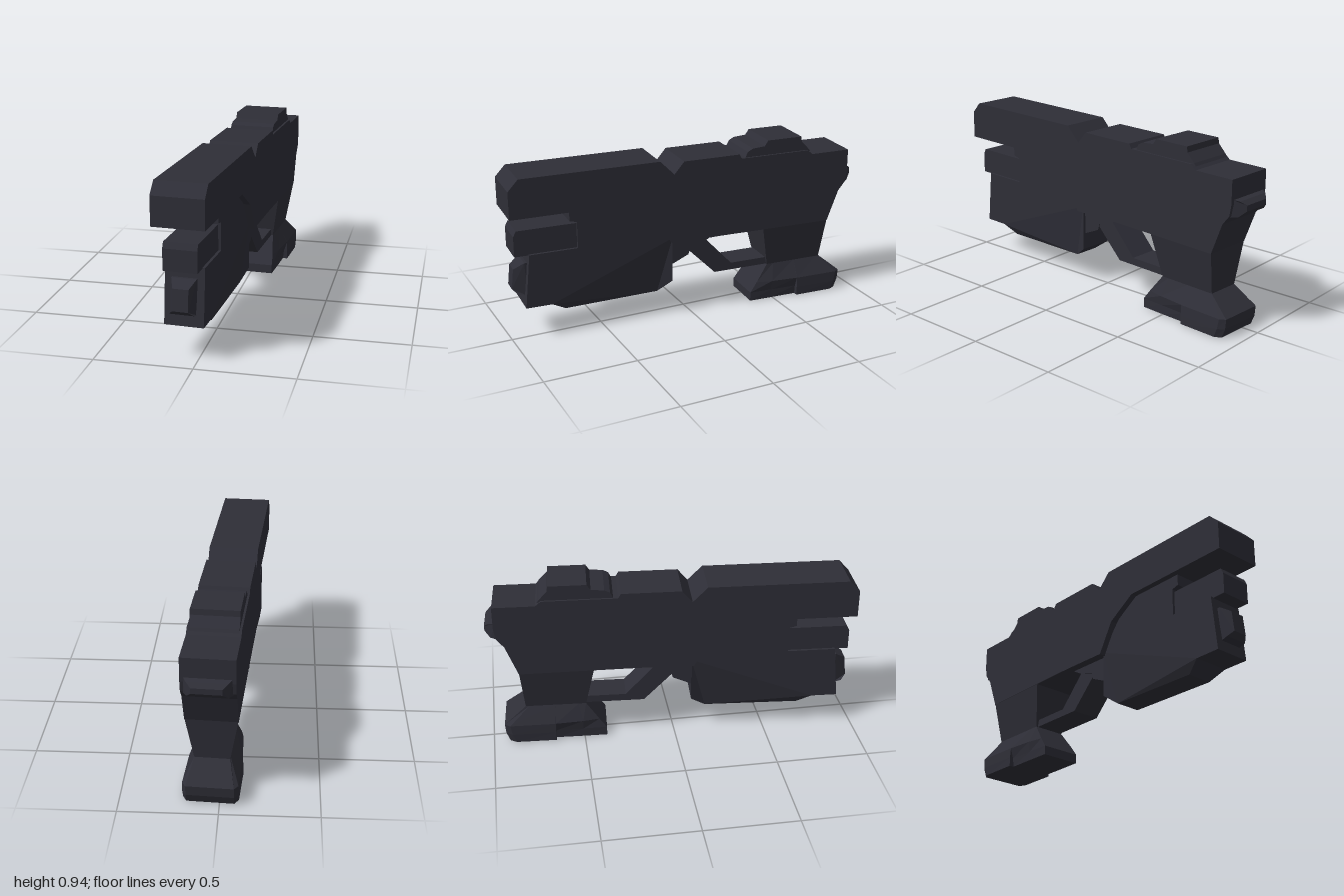
import * as THREE from 'three';

// Side profile of [z, y] points, extruded across x; half(z, y) gives the half width at each point.
function slab(name, points, half, material) {
  const shape = new THREE.Shape(points.map(([z, y]) => new THREE.Vector2(z, y)));
  const geometry = new THREE.ExtrudeGeometry(shape, { depth: 2, bevelEnabled: false });
  geometry.translate(0, 0, -1).rotateY(-Math.PI / 2);
  const p = geometry.attributes.position;
  for (let i = 0; i < p.count; i++) {
    const h = typeof half === 'number' ? half : half(p.getZ(i), p.getY(i));
    p.setX(i, Math.sign(p.getX(i)) * h);
  }
  geometry.computeVertexNormals();
  const mesh = new THREE.Mesh(geometry, material);
  mesh.name = name;
  return mesh;
}

// Stacked plan outlines, each { y, half: [[z, halfWidth], ...] }, mirrored in x and closed with caps.
function loft(name, levels, material) {
  const rings = levels.map(({ y, half }) => [
    ...half.map(([z, h]) => [h, y, z]),
    ...half.slice().reverse().map(([z, h]) => [-h, y, z]),
  ]);
  const v = [];
  const tri = (a, b, c) => v.push(...a, ...b, ...c);
  const n = rings[0].length;
  for (let r = 0; r < rings.length - 1; r++) {
    for (let i = 0; i < n; i++) {
      const j = (i + 1) % n, lo = rings[r], hi = rings[r + 1];
      tri(lo[i], lo[j], hi[j]);
      tri(lo[i], hi[j], hi[i]);
    }
  }
  // Caps are strips between mirrored points.
  const cap = (ring, up) => {
    for (let i = 0; i < n / 2 - 1; i++) {
      const a = ring[i], b = ring[i + 1], c = ring[n - 2 - i], d = ring[n - 1 - i];
      if (up) { tri(a, b, c); tri(a, c, d); } else { tri(a, c, b); tri(a, d, c); }
    }
  };
  cap(rings[0], false);
  cap(rings[rings.length - 1], true);
  const geometry = new THREE.BufferGeometry();
  geometry.setAttribute('position', new THREE.Float32BufferAttribute(v, 3));
  geometry.computeVertexNormals();
  const mesh = new THREE.Mesh(geometry, material);
  mesh.name = name;
  return mesh;
}

export function createModel() {
  const model = new THREE.Group();
  model.name = 'sidearm';
  const metal = new THREE.MeshStandardMaterial({ color: 0x2e2e37, flatShading: true });
  metal.name = 'dark gunmetal';
  const body = new THREE.Group();
  body.name = 'body';
  const add = (name, points, half) => body.add(slab(name, points, half, metal));

  // Upper receiver with sloping frame underneath
  add('receiver', [
    [0.99, 0.69], [0.99, 0.84], [0.935, 0.9], [0.18, 0.9], [0.1, 0.82], [0.045, 0.885],
    [-0.275, 0.885], [-0.29, 0.86], [-0.69, 0.86], [-0.72, 0.835], [-0.945, 0.835],
    [-0.945, 0.71], [-0.935, 0.65], [-0.895, 0.6], [-0.83, 0.43], [-0.17, 0.435],
    [0.11, 0.43], [0.2, 0.59], [0.36, 0.69],
  ], 0.133);

  // Stepped rear sight block
  add('rearSight', [
    [-0.31, 0.85], [-0.33, 0.89], [-0.36, 0.905], [-0.43, 0.91], [-0.45, 0.94],
    [-0.652, 0.94], [-0.656, 0.91], [-0.7, 0.865], [-0.71, 0.85],
  ], 0.122);

  // Fore housing, narrowed along its underside
  add('foreHousing', [
    [0.92, 0.18], [0.89, 0.475], [0.63, 0.475], [0.63, 0.62], [0.67, 0.63], [0.67, 0.7],
    [0.3, 0.7], [0.1, 0.45], [0.1, 0.2], [0.18, 0.14], [0.7, 0.13], [0.78, 0.18],
  ], (z, y) => (y < 0.15 ? 0.07 : 0.1));

  // Barrel block below the receiver
  add('barrelBlock', [
    [0.965, 0.47], [0.965, 0.58], [0.95, 0.61], [0.6, 0.61], [0.6, 0.47],
  ], 0.086);

  // Faceted lamp on the front of the housing
  add('frontLamp', [
    [0.9, 0.235], [0.95, 0.25], [0.977, 0.275], [0.965, 0.385], [0.91, 0.42], [0.88, 0.42],
  ], (z) => (z > 0.96 ? 0.04 : 0.063));

  // Neck and trigger guard
  add('guardNeck', [
    [0.115, 0.44], [0.1, 0.29], [0, 0.335], [-0.01, 0.37], [-0.11, 0.405], [-0.17, 0.44],
  ], 0.085);
  add('triggerGuard', [
    [0, 0.36], [-0.16, 0.2], [-0.5, 0.2], [-0.5, 0.24], [-0.26, 0.24], [-0.1, 0.41], [-0.04, 0.41],
  ], 0.08);

  // Grip, widening upward
  add('grip', [
    [-0.43, 0.435], [-0.48, 0.2], [-0.81, 0.2], [-0.83, 0.435],
  ], (z, y) => (y < 0.3 ? 0.09 : 0.132));

  // Flared foot of the grip
  body.add(loft('gripFoot', [
    { y: 0, half: [[-0.37, 0.112], [-0.5, 0.114], [-0.65, 0.114], [-0.652, 0.14], [-0.87, 0.14], [-0.905, 0.12]] },
    { y: 0.05, half: [[-0.37, 0.112], [-0.5, 0.116], [-0.65, 0.12], [-0.652, 0.14], [-0.89, 0.142], [-0.925, 0.12]] },
    { y: 0.105, half: [[-0.41, 0.108], [-0.5, 0.125], [-0.65, 0.137], [-0.652, 0.138], [-0.9, 0.14], [-0.93, 0.12]] },
    { y: 0.2, half: [[-0.48, 0.09], [-0.52, 0.09], [-0.65, 0.09], [-0.652, 0.09], [-0.79, 0.09], [-0.81, 0.09]] },
  ], metal));

  // Hammer block at the rear
  add('hammerBlock', [
    [-0.93, 0.735], [-0.97, 0.725], [-0.995, 0.705], [-0.995, 0.675], [-0.965, 0.645], [-0.92, 0.64],
  ], (z) => (z < -0.98 ? 0.075 : z < -0.94 ? 0.1 : 0.125));

  // The body sits slightly turned on its upright axis
  body.rotation.y = -0.06;
  body.position.x = -0.008;
  model.add(body);
  return model;
}
